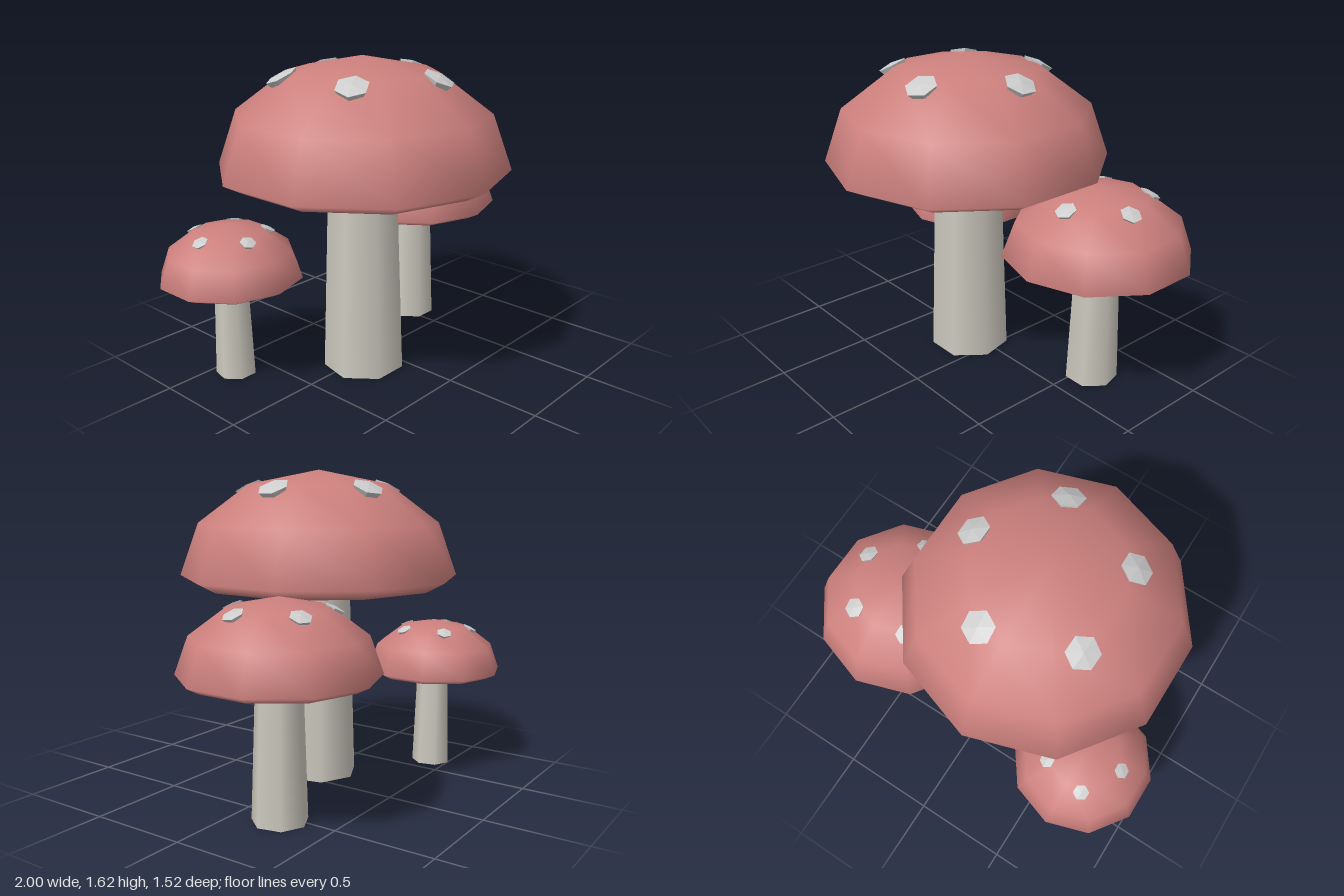
import * as THREE from 'three';

const capMat = new THREE.MeshStandardMaterial({ color: 0xcc807d });
const stemMat = new THREE.MeshStandardMaterial({ color: 0xccc9be });
const spotMat = new THREE.MeshStandardMaterial({ color: 0xcccccc, flatShading: true });

function part(name, geometry, material) {
  const mesh = new THREE.Mesh(geometry, material);
  mesh.name = name;
  return mesh;
}

// One mushroom at full size; turn shifts the ring of spots
function createMushroom(name, turn) {
  const group = new THREE.Group();
  group.name = name;
  const rimY = 1.075, radius = 0.728;

  // Seven-sided tapering stem, tucked into the cap
  const stem = part('stem', new THREE.CylinderGeometry(0.174, 0.21, 1.03, 7), stemMat);
  stem.position.y = 0.515;
  stem.rotation.y = Math.PI;
  group.add(stem);

  // Ten-sided dome and shallow underside meet at a sharp rim
  const dome = new THREE.SphereGeometry(1, 10, 3, 0, Math.PI * 2, 0, Math.PI / 2);
  dome.rotateY(Math.PI / 2).scale(radius, 0.545, radius).translate(0, rimY, 0);
  group.add(part('capTop', dome, capMat));
  const under = new THREE.SphereGeometry(1, 10, 3, 0, Math.PI * 2, Math.PI / 2, Math.PI / 2);
  under.rotateY(Math.PI / 2).scale(radius, 0.102, radius).translate(0, rimY, 0);
  group.add(part('capUnderside', under, capMat));

  // Five hexagonal spots, tilted outward
  const profile = [[0, -0.04], [0.06, -0.04], [0.081, 0], [0, 0.012]];
  const spotGeo = new THREE.LatheGeometry(profile.map(([x, y]) => new THREE.Vector2(x, y)), 6);
  const up = new THREE.Vector3(0, 1, 0), tilt = 0.46;
  for (let i = 0; i < 5; i++) {
    const a = turn + i * Math.PI * 2 / 5;
    const c = Math.cos(a), s = Math.sin(a);
    const spot = part('spot', spotGeo, spotMat);
    spot.position.set(0.39 * c, 1.535, 0.39 * s);
    spot.quaternion.setFromUnitVectors(up,
      new THREE.Vector3(c * Math.sin(tilt), Math.cos(tilt), s * Math.sin(tilt)));
    group.add(spot);
  }
  return group;
}

export function createModel() {
  const model = new THREE.Group();
  model.name = 'mushroomCluster';
  // name, x, z, scale, spot turn
  const cluster = [
    ['largeMushroom', -0.14, 0.03, 1, 0],
    ['mediumMushroom', 0.547, -0.225, 0.652, 0.24],
    ['smallMushroom', -0.655, -0.397, 0.499, 0.52],
  ];
  for (const [name, x, z, scale, turn] of cluster) {
    const mushroom = createMushroom(name, turn);
    mushroom.position.set(x, 0, z);
    mushroom.scale.setScalar(scale);
    model.add(mushroom);
  }
  return model;
}
